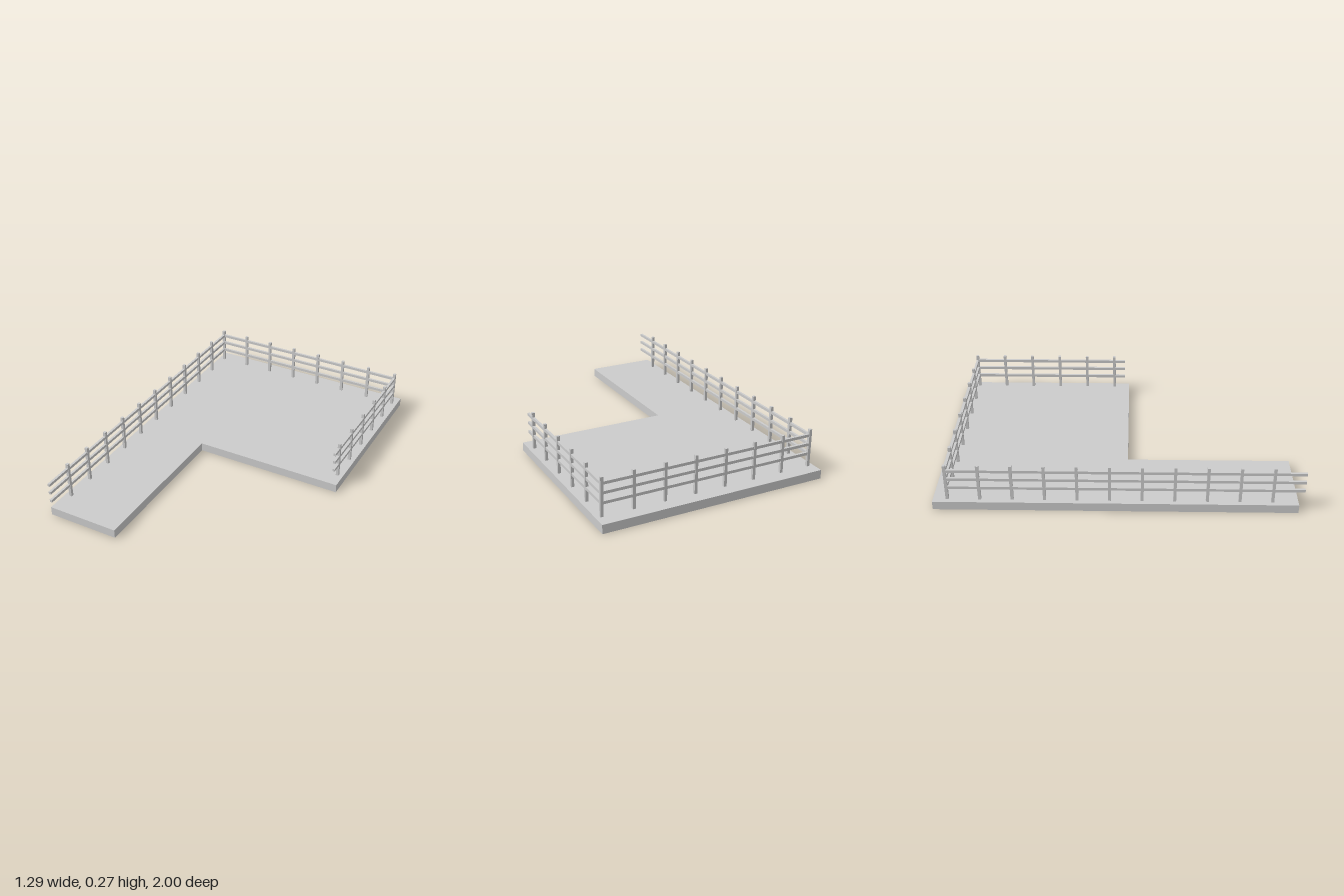
import * as THREE from 'three';

const material = new THREE.MeshStandardMaterial({ color: 0xcccccc });
const DECK = 0.05, TOP = 0.265, POST = 0.016, RAIL = 0.016, STEP = 0.1753;
const RAIL_HEIGHTS = [0.125, 0.179, 0.231];

function box(name, w, h, d, x, y, z) {
  const mesh = new THREE.Mesh(new THREE.BoxGeometry(w, h, d), material);
  mesh.name = name;
  mesh.position.set(x, y, z);
  return mesh;
}

// A straight fence along local +x: evenly spaced posts and three rails
function fence(name, first, count, railStart, railEnd) {
  const group = new THREE.Group();
  group.name = name;
  for (let i = first; i < first + count; i++) {
    group.add(box('post', POST, TOP - DECK, POST, i * STEP, (DECK + TOP) / 2, 0));
  }
  for (const y of RAIL_HEIGHTS) {
    group.add(box('rail', railEnd - railStart, RAIL, RAIL * 0.85, (railStart + railEnd) / 2, y, 0));
  }
  return group;
}

export function createModel() {
  const model = new THREE.Group();
  model.name = 'fencedDeck';

  // L-shaped deck, outline drawn as (x, -z) and laid flat
  const outline = [[-0.647, -0.97], [-0.23, -0.97], [-0.23, -0.05], [0.647, -0.05], [0.647, 1], [-0.647, 1]];
  const shape = new THREE.Shape(outline.map(([x, y]) => new THREE.Vector2(x, y)));
  const geometry = new THREE.ExtrudeGeometry(shape, { depth: DECK, bevelEnabled: false });
  geometry.rotateX(-Math.PI / 2);
  const deck = new THREE.Mesh(geometry, material);
  deck.name = 'deck';
  model.add(deck);

  // Back fence with both corner posts
  const cornerX = 3.5 * STEP, backZ = -0.922;
  const back = fence('backFence', 0, 8, -0.008, 7 * STEP + 0.008);
  back.position.set(-cornerX, 0, backZ);
  model.add(back);

  // Side fences run forward from the corners; rails overhang the last post
  const long = fence('longSideFence', 1, 10, -0.008, 1 - backZ);
  const short = fence('shortSideFence', 1, 5, -0.008, 0.022 - backZ);
  long.position.set(-cornerX, 0, backZ);
  short.position.set(cornerX, 0, backZ);
  for (const side of [long, short]) {
    side.rotation.y = -Math.PI / 2;
    model.add(side);
  }
  return model;
}
